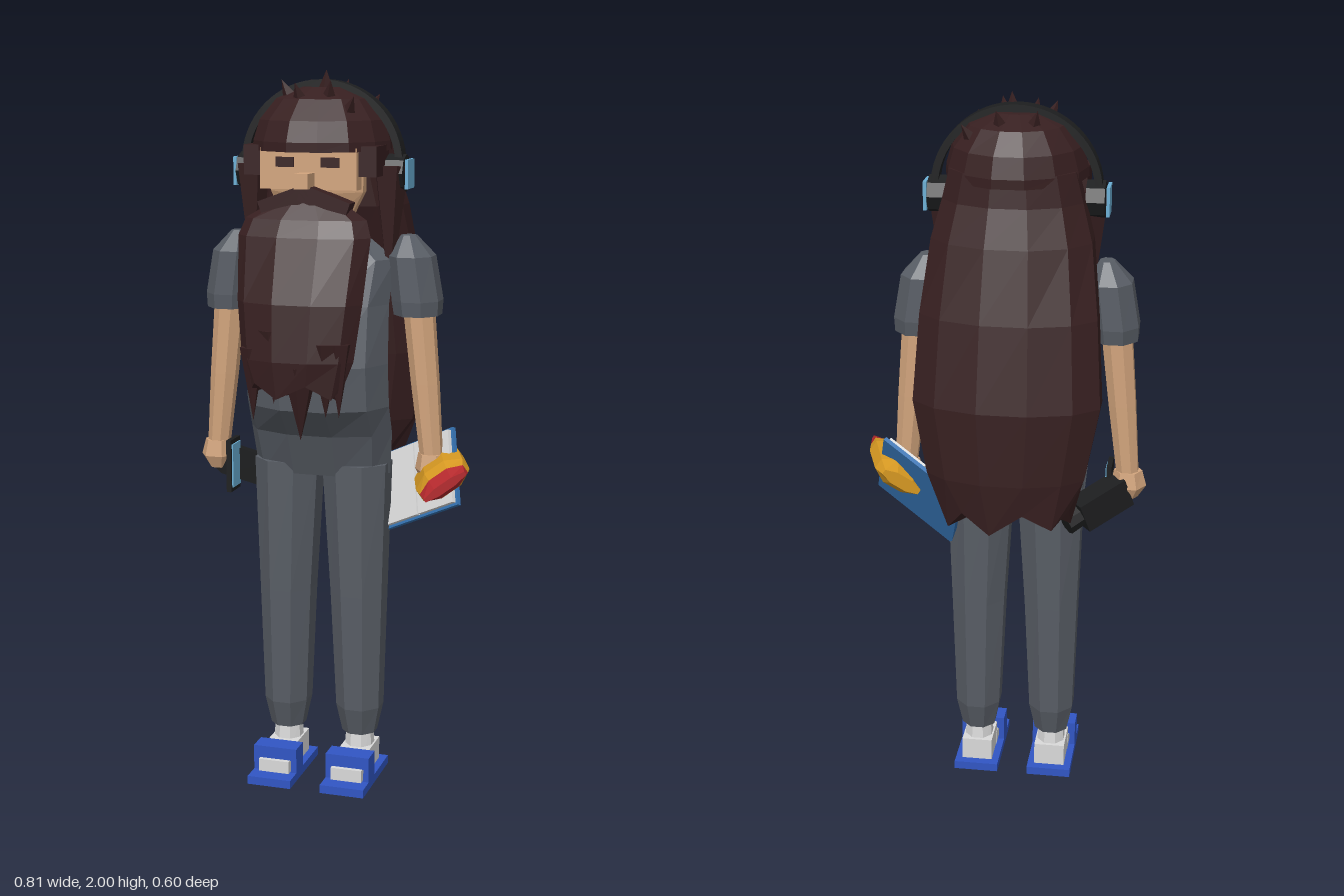
import * as THREE from 'three';

const CX = -0.045; // body midline

const mat = (name, color) => {
  const m = new THREE.MeshStandardMaterial({ color, flatShading: true });
  m.name = name;
  return m;
};

// Skin through elliptical rings, listed bottom to top: [y, cx, halfWidth, zFront, zBack, jag]
function loft(rings, n = 8) {
  const pos = [], idx = [], k = 1 / Math.cos(Math.PI / n);
  for (const [y, cx, hw, zf, zb, jag = 0] of rings) {
    for (let i = 0; i < n; i++) {
      const a = (i + 0.5) / n * Math.PI * 2;
      const drop = jag * (i % 2 ? 1 : -0.6) * (0.75 + 0.25 * Math.cos(i * 2.3));
      pos.push(cx + Math.sin(a) * hw * k, y - drop, (zf + zb) / 2 + Math.cos(a) * k * (zf - zb) / 2);
    }
  }
  const top = (rings.length - 1) * n, c = rings.length * n;
  for (const [y, cx, , zf, zb, jag = 0] of [rings[0], rings[rings.length - 1]]) pos.push(cx, y + jag, (zf + zb) / 2);
  for (let i = 0; i < n; i++) {
    const j = (i + 1) % n;
    for (let r = 0; r < top; r += n) idx.push(r + i, r + j, r + n + j, r + i, r + n + j, r + n + i);
    idx.push(c, j, i, c + 1, top + i, top + j);
  }
  const g = new THREE.BufferGeometry();
  g.setAttribute('position', new THREE.Float32BufferAttribute(pos, 3));
  g.setIndex(idx);
  const flat = g.toNonIndexed();
  flat.computeVertexNormals();
  return flat;
}

export function createModel() {
  const hair = mat('hair brown', 0x371f20);
  const skin = mat('skin', 0xd3a57d);
  const cloth = mat('clothes grey', 0x585d65);
  const black = mat('device black', 0x1d1e1f);
  const glow = mat('light blue', 0x6cb0d6);
  const blue = mat('sandal blue', 0x3156c4);
  const cover = mat('cover blue', 0x3471b0);
  const white = mat('white', 0xdadada);
  const yellow = mat('bag yellow', 0xd89a22);
  const red = mat('bag red', 0xb4282c);

  const model = new THREE.Group();
  const add = (name, geo, m, parent = model) => {
    const mesh = new THREE.Mesh(geo, m);
    mesh.name = name;
    parent.add(mesh);
    return mesh;
  };
  const box = (name, m, w, h, d, x, y, z, parent = model) => {
    const b = add(name, new THREE.BoxGeometry(w, h, d), m, parent);
    b.position.set(x, y, z);
    return b;
  };

  // Torso with round belly
  add('torso', loft([
    [0.90, CX, 0.185, 0.085, -0.088], [1.02, CX, 0.195, 0.13, -0.088], [1.10, CX, 0.195, 0.195, -0.085],
    [1.22, CX, 0.193, 0.205, -0.08], [1.38, CX, 0.19, 0.165, -0.08], [1.50, CX, 0.2, 0.11, -0.075],
    [1.57, CX, 0.11, 0.07, -0.06]], 10), cloth);
  add('neck', loft([[1.52, CX, 0.065, 0.06, -0.06], [1.66, CX, 0.065, 0.06, -0.06]]), skin);

  for (const [side, s] of [['left', 1], ['right', -1]]) {
    const X = (o) => CX + s * o;
    // Legs and sandals
    add(side + 'Leg', loft([
      [0.13, X(0.108), 0.047, 0.045, -0.05], [0.21, X(0.108), 0.063, 0.065, -0.07],
      [0.55, X(0.105), 0.075, 0.078, -0.08], [0.93, X(0.099), 0.092, 0.088, -0.088]]), cloth);
    add(side + 'Sock', loft([[0.025, X(0.108), 0.042, 0.045, -0.05], [0.15, X(0.108), 0.036, 0.035, -0.04]]), white);
    box(side + 'Heel', white, 0.088, 0.065, 0.11, X(0.108), 0.0575, 0);
    box(side + 'Toes', white, 0.09, 0.036, 0.105, X(0.108), 0.043, 0.087);
    box(side + 'Sole', blue, 0.128, 0.024, 0.262, X(0.108), 0.012, 0.052);
    box(side + 'StrapTop', blue, 0.128, 0.036, 0.06, X(0.108), 0.078, 0.096);
    for (const e of [-1, 1]) box(side + 'StrapSide', blue, 0.016, 0.06, 0.06, X(0.108) + e * 0.056, 0.05, 0.096);

    // Arms
    add(side + 'Sleeve', loft([
      [1.35, X(0.27), 0.061, 0.068, -0.07], [1.39, X(0.268), 0.065, 0.072, -0.076],
      [1.51, X(0.252), 0.06, 0.07, -0.072], [1.565, X(0.243), 0.02, 0.025, -0.025]]), cloth);
    add(side + 'Arm', loft([
      [0.96, X(0.312), 0.03, 0.03, -0.03], [1.16, X(0.293), 0.037, 0.036, -0.036],
      [1.37, X(0.273), 0.041, 0.04, -0.04]]), skin);
    add(side + 'Hand', loft([
      [0.885, X(0.313), 0.025, 0.025, -0.025], [0.92, X(0.316), 0.043, 0.04, -0.04],
      [0.965, X(0.314), 0.034, 0.034, -0.034]], 6), skin);

    // Face details and side hair
    box(side + 'Eye', hair, 0.05, 0.026, 0.008, X(0.063), 1.762, 0.137);
    box(side + 'Sidelock', hair, 0.05, 0.08, 0.12, X(0.16), 1.765, 0.06);
    const m = box(side + 'Moustache', hair, 0.14, 0.045, 0.05, X(0.055), 1.662, 0.15);
    m.rotation.z = -s * 0.35;
    const strand = add(side + 'FaceStrand', new THREE.ConeGeometry(0.05, 0.36, 5), hair);
    strand.position.set(X(0.195), 1.57, 0.02);
    strand.rotation.x = Math.PI;

    // Headphone cups
    const cup = add(side + 'EarCup', new THREE.CylinderGeometry(0.05, 0.05, 0.05, 8), black);
    cup.position.set(X(0.21), 1.73, 0);
    cup.rotation.z = Math.PI / 2;
    box(side + 'CupPlate', glow, 0.009, 0.078, 0.066, X(0.243), 1.728, 0);
  }

  // Head
  add('head', loft([
    [1.58, CX, 0.08, 0.12, -0.06], [1.68, CX, 0.13, 0.132, -0.12], [1.82, CX, 0.135, 0.132, -0.13]], 8), skin);
  box('face', skin, 0.268, 0.11, 0.05, CX, 1.745, 0.109);
  box('nose', skin, 0.038, 0.04, 0.065, CX, 1.715, 0.163);

  // Hair cap, long back hair and beard
  add('hairCap', loft([
    [1.79, CX, 0.186, 0.187, -0.185], [1.815, CX, 0.184, 0.187, -0.185], [1.87, CX, 0.168, 0.168, -0.172],
    [1.925, CX, 0.125, 0.118, -0.125], [1.955, CX, 0.055, 0.05, -0.055]], 14), hair);
  add('backHair', loft([
    [0.91, CX - 0.01, 0.165, -0.14, -0.288, 0.045], [1.02, CX, 0.212, -0.1, -0.3], [1.22, CX, 0.25, -0.065, -0.298],
    [1.45, CX, 0.235, -0.03, -0.26], [1.64, CX, 0.212, 0.05, -0.215], [1.74, CX, 0.185, 0.06, -0.185],
    [1.82, CX, 0.165, 0.04, -0.175]], 12), hair);
  add('beard', loft([
    [1.17, CX, 0.125, 0.29, 0.2, 0.03], [1.25, CX, 0.148, 0.298, 0.165], [1.4, CX, 0.165, 0.282, 0.14],
    [1.57, CX, 0.175, 0.228, 0.11], [1.615, CX, 0.16, 0.205, 0.1], [1.665, CX, 0.08, 0.165, 0.09]], 10), hair);
  // [x, tip y, z, radius]
  for (const [x, tip, z, r] of [[-0.165, 1.08, 0.245, 0.035], [-0.105, 1.13, 0.25, 0.045],
    [-0.03, 1.035, 0.25, 0.05], [0.04, 1.1, 0.25, 0.045], [0.075, 1.1, 0.245, 0.035]]) {
    const c = add('beardPoint', new THREE.ConeGeometry(r, 0.2, 6), hair);
    c.rotation.x = Math.PI;
    c.position.set(x, tip + 0.1, z);
  }
  const up = new THREE.Vector3(0, 1, 0);
  for (const [x, z] of [[-0.1, -0.08], [-0.01, -0.09], [0.07, -0.085], [-0.03, 0.02], [-0.13, 0.045], [-0.08, 0.1], [0, 0.085], [0.06, 0.1]]) {
    const dx = x - CX, y = 1.765 + Math.sqrt(0.2 ** 2 - dx * dx - z * z);
    const c = add('hairSpike', new THREE.ConeGeometry(0.03, 0.075, 4), hair);
    c.position.set(x, y, z);
    c.quaternion.setFromUnitVectors(up, new THREE.Vector3(dx, 0.2, z).normalize());
  }

  // Headphone band
  const arc = new THREE.Shape();
  arc.absellipse(0, 0, 0.228, 0.225, 0, Math.PI, false);
  arc.absellipse(0, 0, 0.208, 0.205, Math.PI, 0, true);
  const band = add('headband', new THREE.ExtrudeGeometry(arc, { depth: 0.044, bevelEnabled: false, curveSegments: 16 }), black);
  band.position.set(CX, 1.75, -0.025);

  // Open book under the left hand
  const placed = (name, x, y, p) => {
    const g = new THREE.Group();
    g.name = name;
    x.normalize();
    const z = x.clone().cross(y).normalize();
    g.quaternion.setFromRotationMatrix(new THREE.Matrix4().makeBasis(x, z.clone().cross(x), z));
    g.position.set(...p);
    model.add(g);
    return g;
  };
  const book = placed('book', new THREE.Vector3(0.215, 0.11, 0.1), new THREE.Vector3(-0.06, 0.18, -0.12), [0.227, 0.879, -0.034]);
  box('bookCover', cover, 0.284, 0.225, 0.012, 0, 0, 0, book);
  for (const e of [-1, 1]) box('pages', white, 0.132, 0.21, 0.012, e * 0.0685, 0, 0.012, book);

  // Snack bag in the left hand
  const bag = placed('snackBag', new THREE.Vector3(0.78, 0.58, -0.25), new THREE.Vector3(0.3, 0, 0.95), [0.31, 0.917, 0.055]);
  add('bagBody', loft([
    [-0.13, 0, 0.06, 0.018, -0.018], [-0.085, 0, 0.073, 0.04, -0.04], [0.045, 0, 0.076, 0.042, -0.042],
    [0.09, 0, 0.07, 0.03, -0.03]]), yellow, bag);
  add('bagEnd', loft([[0.09, 0, 0.07, 0.03, -0.03], [0.13, 0, 0.066, 0.012, -0.012]]), red, bag);

  // Handheld camera with fold-out screen in the right hand
  const cam = new THREE.Group();
  cam.name = 'handCamera';
  cam.position.set(-0.29, 0.883, -0.045);
  cam.rotation.set(0, 0.6, -0.38);
  model.add(cam);
  box('cameraBody', black, 0.15, 0.085, 0.07, 0, 0, 0, cam);
  const lens = add('cameraLens', new THREE.CylinderGeometry(0.03, 0.034, 0.06, 8), black, cam);
  lens.rotation.z = Math.PI / 2;
  lens.position.set(0.09, 0, 0);
  box('screenFrame', black, 0.014, 0.15, 0.075, -0.307, 0.9, 0.025);
  box('screen', glow, 0.006, 0.125, 0.06, -0.299, 0.9, 0.025);

  return model;
}
